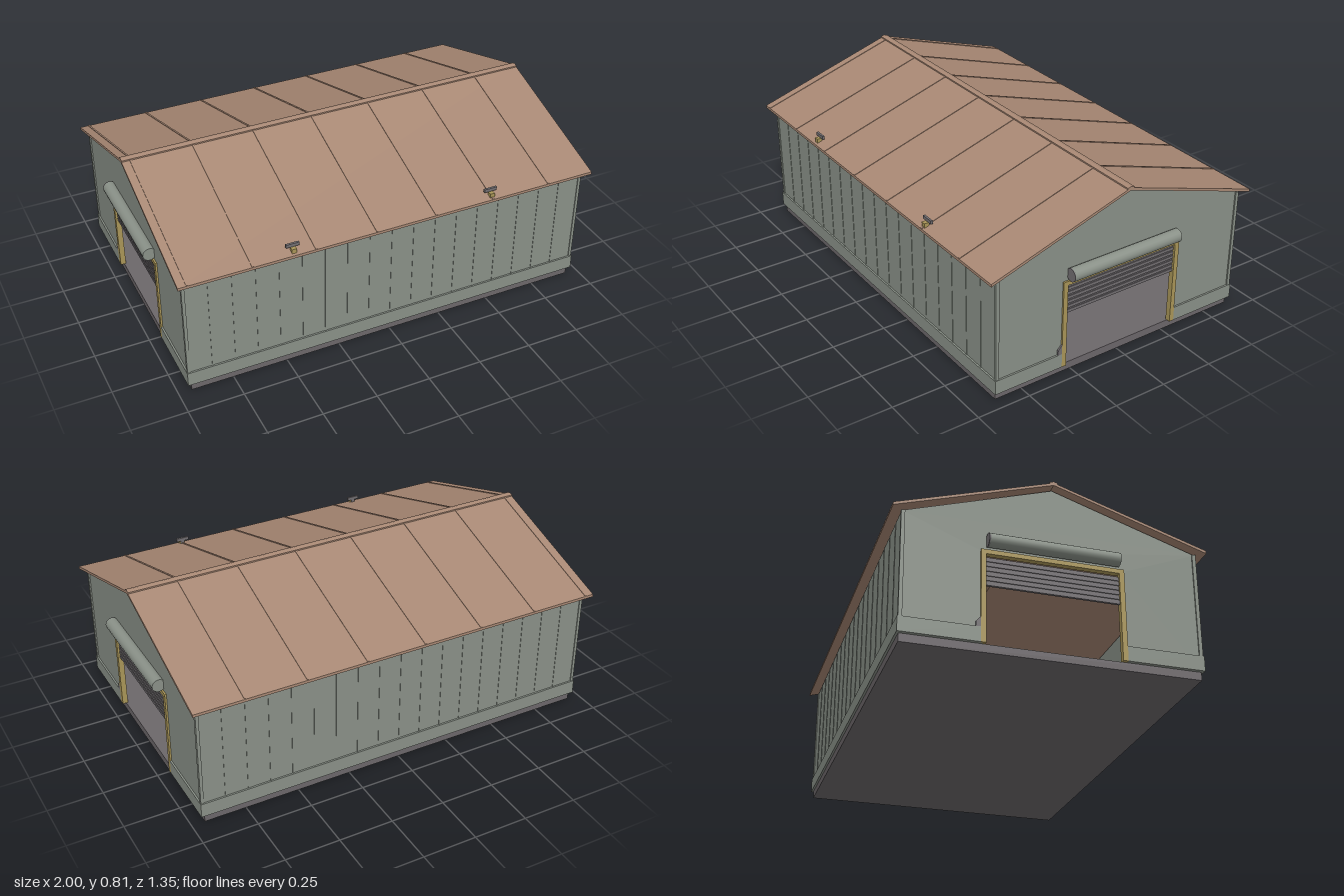
import * as THREE from 'three';

const mat = (name, color, side = THREE.FrontSide) => {
  const m = new THREE.MeshStandardMaterial({ color, side });
  m.name = name;
  return m;
};

export function createModel() {
  const root = new THREE.Group();
  root.name = 'warehouse';
  const wall = mat('wall green grey', 0x8a9188);
  const roof = mat('roof brown', 0xa88874);
  const slab = mat('concrete grey', 0x6c676a);
  const frame = mat('frame yellow', 0xaa9658);
  const steel = mat('shutter grey', 0x726e71);

  const add = (parent, name, geo, material) => {
    const m = new THREE.Mesh(geo, material);
    m.name = name;
    parent.add(m);
    return m;
  };
  // box given by its min and max on each axis
  const box = (parent, name, material, x0, x1, y0, y1, z0, z1) => {
    const g = new THREE.BoxGeometry(x1 - x0, y1 - y0, z1 - z0);
    g.translate((x0 + x1) / 2, (y0 + y1) / 2, (z0 + z1) / 2);
    return add(parent, name, g, material);
  };
  // profile of [z, y] points swept along x
  const sweepX = (parent, name, material, pts, x0, x1) => {
    const s = new THREE.Shape(pts.map(([z, y]) => new THREE.Vector2(-z, y)));
    const g = new THREE.ExtrudeGeometry(s, { depth: x1 - x0, bevelEnabled: false });
    g.rotateY(Math.PI / 2);
    g.translate(x0, 0, 0);
    return add(parent, name, g, material);
  };
  // roof-shaped band between two heights
  const chevron = (half, eaveLow, ridgeLow, eaveHigh, ridgeHigh) => [
    [half, eaveLow], [0, ridgeLow], [-half, eaveLow],
    [-half, eaveHigh], [0, ridgeHigh], [half, eaveHigh],
  ];

  // foundation
  box(root, 'foundation', slab, -0.94, 0.94, 0, 0.036, -0.63, 0.63);

  // long walls with skirting and shallow panel ribs
  for (const s of [1, -1]) {
    const side = new THREE.Group();
    side.name = s > 0 ? 'frontWall' : 'backWall';
    const zBox = (name, x0, x1, y0, y1, a, b) =>
      box(side, name, wall, x0, x1, y0, y1, Math.min(s * a, s * b), Math.max(s * a, s * b));
    zBox('wallPanel', -0.95, 0.95, 0.036, 0.578, 0.622, 0.632);
    zBox('wallSkirting', -0.957, 0.957, 0.036, 0.102, 0.632, 0.64);
    for (let i = 1; i < 18; i++) {
      const x = -0.945 + i * 0.105;
      zBox('wallRib', x - 0.003, x + 0.003, 0.102, 0.575, 0.632, 0.634);
    }
    for (const x of [-0.948, 0.948])
      zBox('cornerTrim', x - 0.007, x + 0.007, 0.102, 0.575, 0.62, 0.636);
    root.add(side);
  }

  // gable ends, built facing +x and turned for the other end
  for (const turn of [0, Math.PI]) {
    const end = new THREE.Group();
    end.name = turn ? 'leftSideEnd'.replace('left', 'right') : 'leftSideEnd';
    end.rotation.y = turn;
    sweepX(end, 'gableWall', wall, [
      [0.632, 0.036], [0.632, 0.575], [0, 0.78], [-0.632, 0.575], [-0.632, 0.036],
      [-0.295, 0.036], [-0.295, 0.44], [0.295, 0.44], [0.295, 0.036],
    ], 0.938, 0.949);

    // door frame and skirting on each side of the opening
    for (const s of [1, -1]) {
      const [a, b] = s > 0 ? [0.284, 0.306] : [-0.306, -0.284];
      box(end, 'doorPost', frame, 0.932, 0.957, 0.036, 0.45, a, b);
      const [c, d] = s > 0 ? [0.306, 0.64] : [-0.64, -0.306];
      box(end, 'gableSkirting', wall, 0.949, 0.957, 0.036, 0.102, c, d);
    }
    box(end, 'doorLintel', frame, 0.932, 0.957, 0.43, 0.45, -0.284, 0.284);

    // partly raised slatted shutter
    box(end, 'shutterCurtain', steel, 0.94, 0.944, 0.292, 0.42, -0.284, 0.284);
    for (let i = 0; i < 6; i++) {
      const y = 0.292 + i * 0.0215;
      box(end, 'shutterSlat', steel, 0.937, 0.948, y, y + 0.014, -0.284, 0.284);
    }

    // rolled shutter housing
    const drum = new THREE.CylinderGeometry(0.03, 0.03, 0.56, 16);
    drum.rotateX(Math.PI / 2);
    const roll = add(end, 'shutterHousing', drum, wall);
    roll.position.set(0.97, 0.485, 0);
    const disc = new THREE.CylinderGeometry(0.03, 0.03, 0.006, 16);
    disc.rotateX(Math.PI / 2);
    add(end, 'housingCap', disc, steel).position.set(0.97, 0.485, 0.28);

    // guard wedge beside the door
    sweepX(end, 'doorGuard', steel, [
      [0.306, 0.102], [0.326, 0.102], [0.326, 0.125], [0.306, 0.147],
    ], 0.949, 0.957);
    root.add(end);
  }

  // roof, standing seams and ridge cap
  sweepX(root, 'roofSheets', roof, chevron(0.675, 0.575, 0.789, 0.588, 0.801), -0.98, 0.98);
  for (let i = 0; i < 7; i++) {
    const x = -0.94 + i * 0.282;
    sweepX(root, 'roofSeam', roof, chevron(0.674, 0.58, 0.794, 0.591, 0.804), x - 0.004, x + 0.004);
  }
  sweepX(root, 'ridgeCap', roof, chevron(0.017, 0.79, 0.795, 0.802, 0.807), -0.98, 0.98);

  // small lamps along the front eave
  for (const x of [-0.47, 0.47]) {
    const lamp = new THREE.Group();
    lamp.name = 'eaveLamp';
    box(lamp, 'lampBracket', frame, x - 0.011, x + 0.011, 0.587, 0.612, 0.642, 0.664);
    box(lamp, 'lampStem', steel, x - 0.008, x + 0.008, 0.595, 0.616, 0.637, 0.645);
    box(lamp, 'lampHead', steel, x - 0.03, x + 0.03, 0.613, 0.628, 0.636, 0.646);
    root.add(lamp);
  }
  return root;
}
